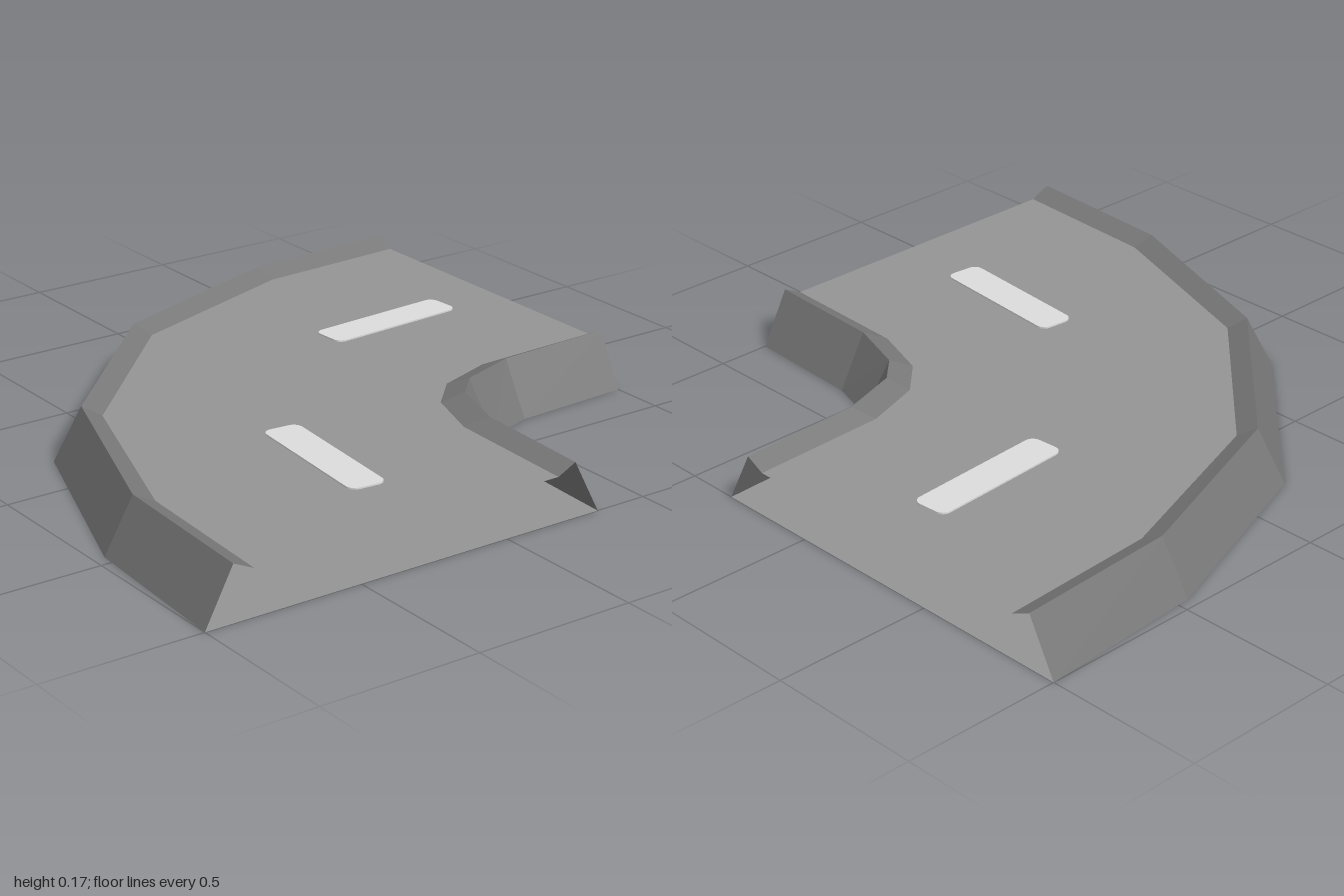
import * as THREE from 'three';

const RIDGE = 0.17, ROAD = 0.14;

const material = (name, color) => {
  const m = new THREE.MeshStandardMaterial({ color, side: THREE.DoubleSide });
  m.name = name;
  return m;
};

// Half of a bend as [x, z] points, completed by mirroring across the diagonal
const bend = (half) => [...half, ...half.map(([x, z]) => [z, x]).reverse()];

// Faceted band between two bends at given heights
function band(a, ya, b, yb) {
  const pos = [];
  for (let i = 0; i < a.length - 1; i++) {
    const a0 = [a[i][0], ya, a[i][1]], a1 = [a[i + 1][0], ya, a[i + 1][1]];
    const b0 = [b[i][0], yb, b[i][1]], b1 = [b[i + 1][0], yb, b[i + 1][1]];
    pos.push(...a0, ...b0, ...a1, ...a1, ...b0, ...b1);
  }
  const g = new THREE.BufferGeometry();
  g.setAttribute('position', new THREE.Float32BufferAttribute(pos, 3));
  g.computeVertexNormals();
  return g;
}

// Flat sheet enclosed by an outer and an inner bend
function sheet(outer, inner, y) {
  const outline = [...outer, ...[...inner].reverse()];
  const shape = new THREE.Shape(outline.map(([x, z]) => new THREE.Vector2(x, -z)));
  return new THREE.ShapeGeometry(shape).rotateX(-Math.PI / 2).translate(0, y, 0);
}

// Thin rounded lane dash
function dashGeometry(length, width, r) {
  const x = length / 2, y = width / 2, s = new THREE.Shape();
  s.absarc(x - r, y - r, r, 0, Math.PI / 2);
  s.absarc(r - x, y - r, r, Math.PI / 2, Math.PI);
  s.absarc(r - x, r - y, r, Math.PI, Math.PI * 1.5);
  s.absarc(x - r, r - y, r, Math.PI * 1.5, Math.PI * 2);
  return new THREE.ExtrudeGeometry(s, { depth: 0.005, bevelEnabled: false, curveSegments: 4 })
    .rotateX(-Math.PI / 2);
}

export function createModel() {
  const group = new THREE.Group();
  group.name = 'curvedRoad';
  const asphalt = material('asphalt grey', 0x949494);
  const kerb = material('kerb grey', 0x787878);
  const paint = material('lane paint', 0xdcdcdc);
  const add = (name, geometry, mat) => {
    const mesh = new THREE.Mesh(geometry, mat);
    mesh.name = name;
    group.add(mesh);
    return mesh;
  };

  // Bends of the cross-section, from the outside of the curve to the inside
  const outerFoot = bend([[-1, 1], [-0.965, 0.46], [-0.73, -0.195]]);
  const outerRidge = bend([[-0.91, 1], [-0.88, 0.475], [-0.655, -0.155]]);
  const outerLip = bend([[-0.845, 1], [-0.817, 0.49], [-0.605, -0.12]]);
  const innerLip = bend([[0.18, 1], [0.197, 0.56], [0.262, 0.37]]);
  const innerRidge = bend([[0.24, 1], [0.26, 0.6], [0.325, 0.405]]);
  const innerFoot = bend([[0.33, 1], [0.35, 0.605], [0.4, 0.445]]);

  // Kerbs: sloping wall outside, shallow lip towards the road
  add('outerWall', band(outerFoot, 0, outerRidge, RIDGE), kerb);
  add('outerLip', band(outerRidge, RIDGE, outerLip, ROAD), kerb);
  add('innerLip', band(innerLip, ROAD, innerRidge, RIDGE), kerb);
  add('innerWall', band(innerRidge, RIDGE, innerFoot, 0), kerb);

  // Road deck and base, open at both ends
  add('roadSurface', sheet(outerLip, innerLip, ROAD), asphalt);
  add('base', sheet(outerFoot, innerFoot, 0), asphalt);

  // Lane dashes: x, z, heading
  const dash = dashGeometry(0.49, 0.118, 0.028);
  for (const [x, z, turn] of [[0.555, -0.28, 0.065], [-0.266, 0.507, Math.PI / 2 - 0.09]]) {
    const mesh = add('laneDash', dash, paint);
    mesh.position.set(x, ROAD, z);
    mesh.rotation.y = turn;
  }
  return group;
}
